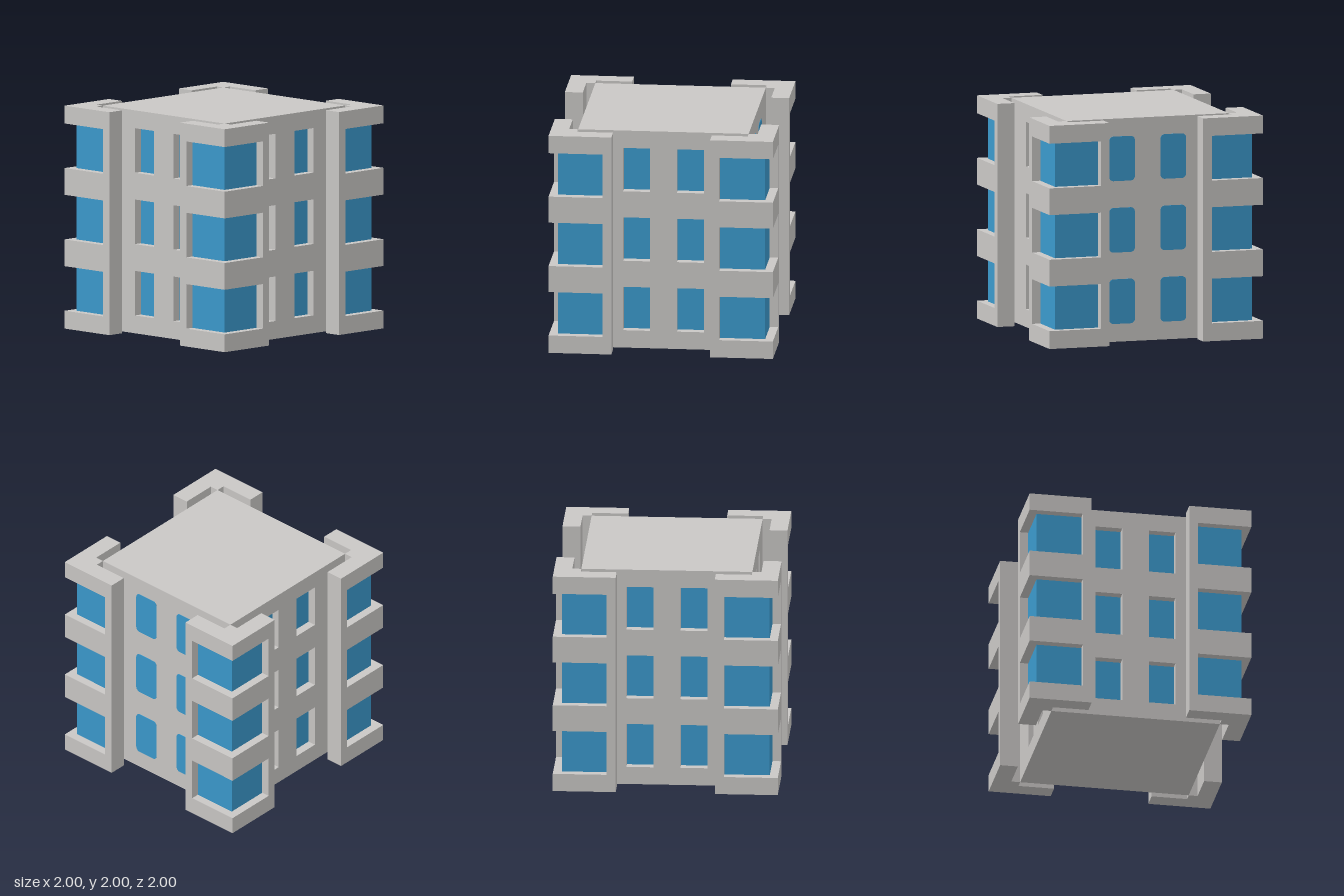
import * as THREE from 'three';

const concrete = new THREE.MeshStandardMaterial({ color: 0xc9c7c5 });
concrete.name = 'concrete';
const glass = new THREE.MeshStandardMaterial({ color: 0x3b99cc });
glass.name = 'blueGlass';

const FLOORS = [0.16, 0.8, 1.44]; // sill heights
const WIN_H = 0.4, WIN_W = 0.24, HEIGHT = 2, FILM = 0.004;
const BANDS = [[0, 0.16], [0.56, 0.8], [1.2, 1.44], [1.84, 2]];

function add(parent, name, geometry, material, x = 0, y = 0, z = 0) {
  const mesh = new THREE.Mesh(geometry, material);
  mesh.name = name;
  mesh.position.set(x, y, z);
  parent.add(mesh);
  return mesh;
}

function polygon(points) {
  return new THREE.Shape(points.map(([x, y]) => new THREE.Vector2(x, y)));
}

function rect(x0, y0, x1, y1) {
  return polygon([[x0, y0], [x1, y0], [x1, y1], [x0, y1]]);
}

function roundedRect(w, h, r) {
  const s = new THREE.Shape(), a = w / 2 - r, b = h / 2 - r;
  s.absarc(a, b, r, 0, Math.PI / 2);
  s.absarc(-a, b, r, Math.PI / 2, Math.PI);
  s.absarc(-a, -b, r, Math.PI, Math.PI * 1.5);
  s.absarc(a, -b, r, Math.PI * 1.5, Math.PI * 2);
  return s;
}

function extrude(shape, depth) {
  return new THREE.ExtrudeGeometry(shape, { depth, bevelEnabled: false, curveSegments: 5 });
}

// Plan outline (x, z) raised from y0 to y1
function prism(points, y0, y1) {
  return extrude(polygon(points), y1 - y0).rotateX(Math.PI / 2).translate(0, y1, 0);
}

// L-shaped plan strip between two distances, starting at s along each arm
function corner(inner, outer, s) {
  return [[s, inner], [inner, inner], [inner, s], [outer, s], [outer, outer], [s, outer]];
}

// One facade panel facing +z; windows are either recessed or flush
function makeWall(name, width, recessed) {
  const wall = new THREE.Group();
  wall.name = name;
  const shape = rect(-width / 2, 0, width / 2, HEIGHT);
  for (const x of [-0.24, 0.24]) {
    for (const y of FLOORS) {
      if (recessed) {
        shape.holes.push(rect(x - WIN_W / 2, y, x + WIN_W / 2, y + WIN_H));
        add(wall, 'recessedWindow', new THREE.BoxGeometry(WIN_W, WIN_H, FILM), glass,
          x, y + WIN_H / 2, 0.68 + FILM / 2);
      } else {
        add(wall, 'flushWindow', extrude(roundedRect(WIN_W, WIN_H, 0.04), FILM), glass,
          x, y + WIN_H / 2, 0.76);
      }
    }
  }
  add(wall, 'wallPanel', extrude(shape, 0.08), concrete, 0, 0, 0.68);
  return wall;
}

// Projecting corner bay with wraparound windows
function makeBay() {
  const bay = new THREE.Group();
  bay.name = 'cornerBay';
  // Inner wall, stepped in where it meets the main block
  add(bay, 'bayInnerWall', prism([
    [0.44, 0.84], [0.76, 0.84], [0.76, 0.76], [0.84, 0.76],
    [0.84, 0.44], [0.92, 0.44], [0.92, 0.92], [0.44, 0.92],
  ], 0, HEIGHT), concrete);
  // Posts closing the end of each arm
  for (const [x, z] of [[0.48, 0.96], [0.96, 0.48]]) {
    add(bay, 'bayPost', new THREE.BoxGeometry(0.08, HEIGHT, 0.08), concrete, x, HEIGHT / 2, z);
  }
  // Horizontal bands and the glazing between them
  for (const [y0, y1] of BANDS) {
    add(bay, 'bayBand', prism(corner(0.92, 1, 0.52), y0, y1), concrete);
  }
  for (const y of FLOORS) {
    add(bay, 'bayWindow', prism(corner(0.92, 0.92 + FILM, 0.52), y, y + WIN_H), glass);
  }
  return bay;
}

export function createModel() {
  const building = new THREE.Group();
  building.name = 'apartmentBlock';

  // Main block
  add(building, 'core', new THREE.BoxGeometry(1.36, HEIGHT, 1.36), concrete, 0, HEIGHT / 2, 0);

  // Four facades: front, left, back, right
  ['frontWall', 'leftWall', 'backWall', 'rightWall'].forEach((name, i) => {
    const wall = makeWall(name, i % 2 ? 1.36 : 1.52, i !== 2);
    wall.rotation.y = i * Math.PI / 2;
    building.add(wall);
  });

  // Four corner bays
  for (let i = 0; i < 4; i++) {
    const bay = makeBay();
    bay.rotation.y = i * Math.PI / 2;
    building.add(bay);
  }
  return building;
}
